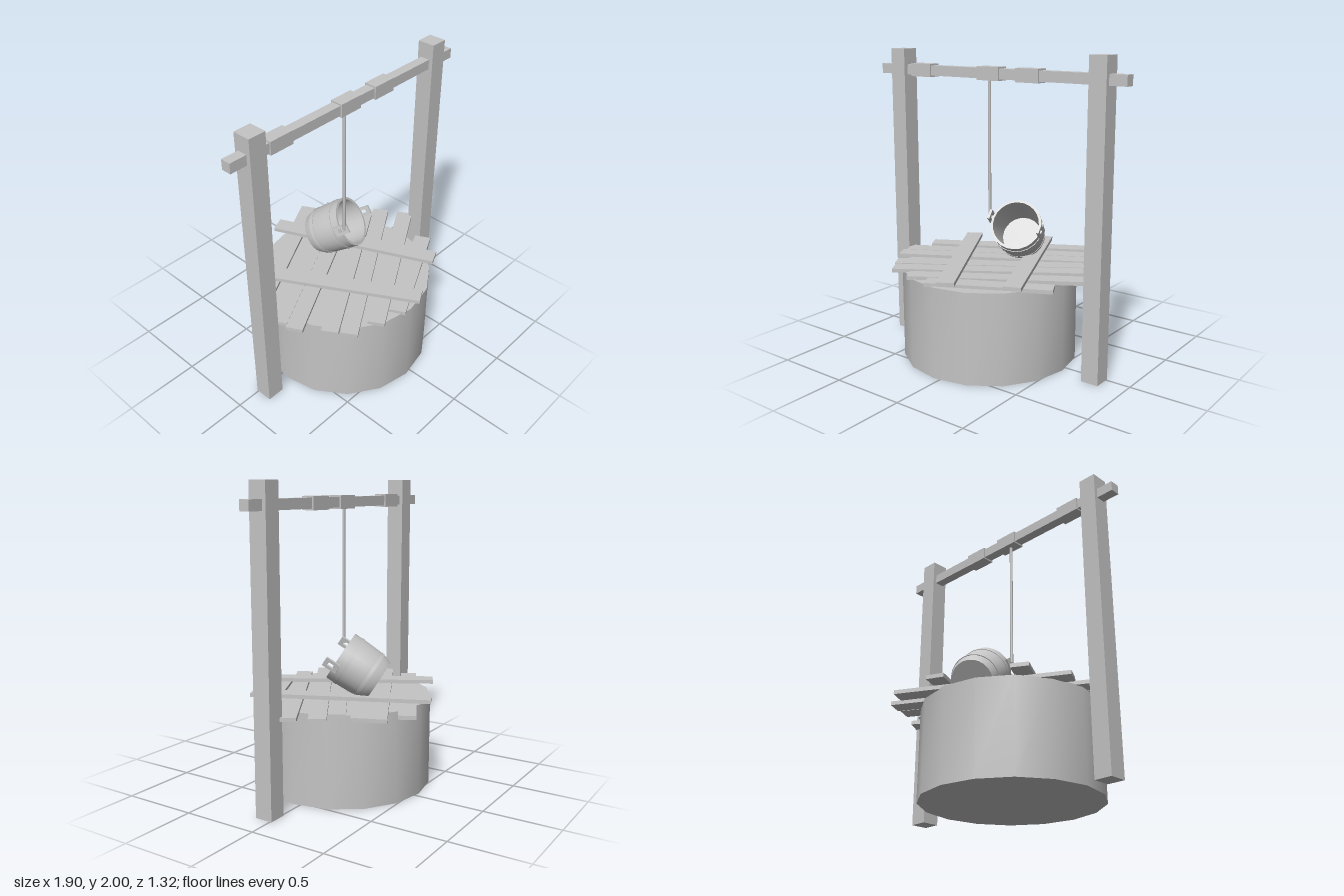
import * as THREE from 'three';
import { toCreasedNormals } from 'three/addons/utils/BufferGeometryUtils.js';

export function createModel() {
  const model = new THREE.Group();
  model.name = 'well';
  const grey = new THREE.MeshStandardMaterial({ color: 0xc4c4c4 });
  grey.name = 'plain grey';

  const add = (name, geometry, x, y, z, parent = model) => {
    const mesh = new THREE.Mesh(geometry, grey);
    mesh.name = name;
    mesh.position.set(x, y, z);
    parent.add(mesh);
    return mesh;
  };
  const box = (name, w, h, d, x, y, z) => add(name, new THREE.BoxGeometry(w, h, d), x, y, z);

  // Flat board between two points on the ground plan
  const board = (name, x0, z0, x1, z1, width, y) => {
    const dx = x1 - x0, dz = z1 - z0;
    const mesh = box(name, Math.hypot(dx, dz), 0.025, width, (x0 + x1) / 2, y, (z0 + z1) / 2);
    mesh.rotation.y = -Math.atan2(dz, dx);
  };

  // Frame: two posts and a crossbeam with sleeves
  for (const side of [-1, 1]) box(side > 0 ? 'leftPost' : 'rightPost', 0.118, 2, 0.118, side * 0.775, 1, 0.048);
  box('crossbeam', 1.9, 0.066, 0.066, 0, 1.862, 0.046);
  for (const x of [-0.587, -0.027, 0.272]) box('beamSleeve', 0.168, 0.086, 0.086, x, 1.862, 0.046);

  // Sixteen-sided well wall
  const wall = new THREE.CylinderGeometry(0.58, 0.58, 0.6, 16);
  add('wellWall', toCreasedNormals(wall, Math.PI / 5), -0.04, 0.3, 0.045);

  // Cover planks: ends given along (u) and across (v) the plank direction
  const planks = [
    [-0.545, -0.41, 0.547, -0.41],
    [-0.68, -0.24, 0.638, -0.24],
    [-0.708, -0.13, 0.62, -0.13],
    [-0.68, 0.09, 0.56, 0.01],
    [-0.665, 0.21, 0.652, 0.117],
    [-0.53, 0.35, 0.658, 0.295],
    [-0.39, 0.455, 0.408, 0.477],
  ];
  const c = 0.882, s = 0.471;
  planks.forEach(([u0, v0, u1, v1], i) => board('coverPlank',
    u0 * c + v0 * s, -u0 * s + v0 * c, u1 * c + v1 * s, -u1 * s + v1 * c, 0.11, 0.607 + (i % 2) * 0.002));

  // Two battens across the planks
  board('batten', -0.51, -0.383, 0.061, 0.627, 0.112, 0.639);
  board('batten', -0.043, -0.61, 0.431, 0.449, 0.112, 0.639);

  // Bucket lying tilted on the cover
  const bucket = new THREE.Group();
  bucket.name = 'bucket';
  const axis = new THREE.Vector3(0.34, 0.54, 0.77).normalize();
  const across = new THREE.Vector3(0.94, -0.2, -0.27);
  across.addScaledVector(axis, -across.dot(axis)).normalize();
  const third = new THREE.Vector3().crossVectors(across, axis);
  bucket.quaternion.setFromRotationMatrix(new THREE.Matrix4().makeBasis(across, axis, third));
  const height = 0.29;
  bucket.position.set(0.112, 0.885, -0.032).addScaledVector(axis, -height);
  model.add(bucket);

  const profile = [[0, 0], [0.138, 0], [0.155, 0.04], [0.164, 0.1], [0.168, 0.18], [0.17, height],
    [0.153, height], [0.15, 0.15], [0.135, 0.025], [0, 0.025]].map(([r, y]) => new THREE.Vector2(r, y));
  add('bucketShell', toCreasedNormals(new THREE.LatheGeometry(profile, 24), 0.6), 0, 0, 0, bucket);

  // Thin hoops
  for (const [y, r] of [[0.07, 0.163], [0.225, 0.172]]) {
    const hoop = [[r - 0.008, y - 0.012], [r, y - 0.012], [r + 0.001, y + 0.012], [r - 0.008, y + 0.012]]
      .map(([px, py]) => new THREE.Vector2(px, py));
    add('bucketHoop', toCreasedNormals(new THREE.LatheGeometry(hoop, 24), 0.6), 0, 0, 0, bucket);
  }

  // Pierced ears on both sides of the rim
  const rect = (target, w, h) => target.moveTo(-w, -h).lineTo(w, -h).lineTo(w, h).lineTo(-w, h).closePath();
  const earShape = rect(new THREE.Shape(), 0.032, 0.05);
  earShape.holes.push(rect(new THREE.Path(), 0.013, 0.022));
  const earGeometry = new THREE.ExtrudeGeometry(earShape, { depth: 0.016, bevelEnabled: false });
  earGeometry.translate(0, 0, -0.008);
  for (const side of [-1, 1]) {
    const ear = add('bucketEar', earGeometry, side * 0.172, height + 0.015, 0, bucket);
    ear.rotation.y = Math.PI / 2;
  }

  // Rope from the beam to one ear
  add('rope', new THREE.CylinderGeometry(0.01, 0.01, 0.9, 8), -0.042, 1.385, 0.046);

  return model;
}
